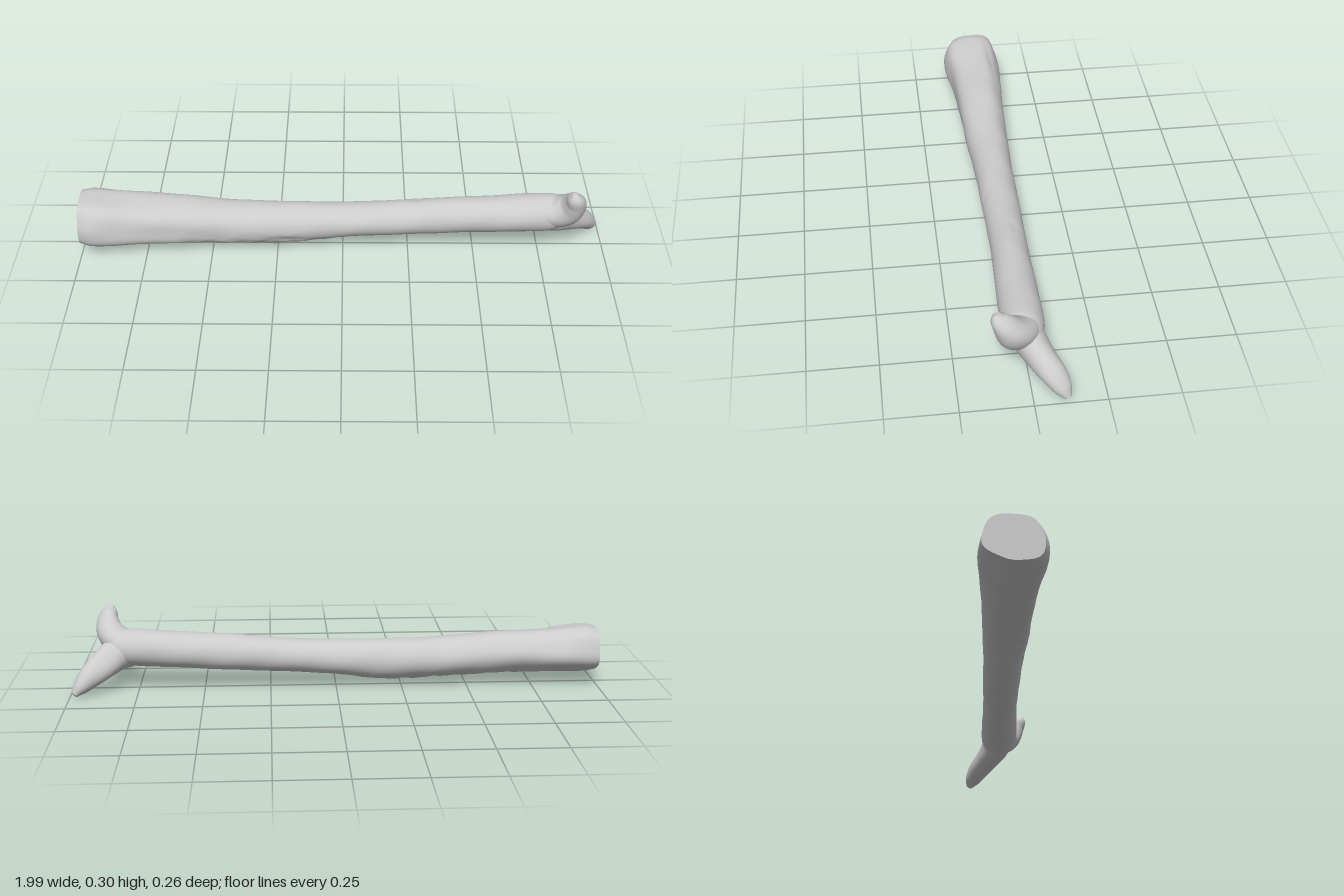
import * as THREE from 'three';

const material = new THREE.MeshStandardMaterial({ color: 0xcccccc, roughness: 0.9 });
const SIDES = 56;

// Joins rings of points into a smooth skin; each end gets its own flat cap.
function loft(rings) {
  const pos = [], index = [];
  const n = rings[0].length;
  rings.forEach(r => r.forEach(p => pos.push(p.x, p.y, p.z)));
  for (let i = 0; i < rings.length - 1; i++) {
    for (let j = 0; j < n; j++) {
      const k = (j + 1) % n;
      const a = i * n + j, b = i * n + k, c = a + n, d = b + n;
      index.push(a, c, b, b, c, d);
    }
  }
  [rings[0], rings[rings.length - 1]].forEach((ring, end) => {
    const base = pos.length / 3;
    const mid = new THREE.Vector3();
    ring.forEach(p => { mid.add(p); pos.push(p.x, p.y, p.z); });
    mid.divideScalar(n);
    pos.push(mid.x, mid.y, mid.z);
    for (let j = 0; j < n; j++) {
      const a = base + j, b = base + (j + 1) % n;
      if (end === 0) index.push(base + n, a, b);
      else index.push(base + n, b, a);
    }
  });
  const g = new THREE.BufferGeometry();
  g.setAttribute('position', new THREE.Float32BufferAttribute(pos, 3));
  g.setIndex(index);
  g.computeVertexNormals();
  return g;
}

// Smooth interpolation through a table whose first column is the key
function sample(table, x) {
  let i = 0;
  while (i < table.length - 2 && x > table[i + 1][0]) i++;
  const p0 = table[Math.max(i - 1, 0)], p1 = table[i];
  const p2 = table[i + 1], p3 = table[Math.min(i + 2, table.length - 1)];
  const h = p2[0] - p1[0];
  const t = THREE.MathUtils.clamp((x - p1[0]) / h, 0, 1);
  return p1.map((v, c) => {
    if (c === 0) return x;
    const m1 = (p2[c] - p0[c]) / (p2[0] - p0[0]) * h;
    const m2 = (p3[c] - p1[c]) / (p3[0] - p1[0]) * h;
    const t2 = t * t, t3 = t2 * t;
    return (2 * t3 - 3 * t2 + 1) * v + (t3 - 2 * t2 + t) * m1
      + (3 * t2 - 2 * t3) * p2[c] + (t3 - t2) * m2;
  });
}

const bump = (v, centre, width) => Math.exp(-(((v - centre) / width) ** 2));
const angleGap = (a, b) => Math.atan2(Math.sin(a - b), Math.cos(a - b));

// Trunk stations: x, bottom y, top y, back z, front z
const stations = [
  [-1, 0.052, 0.217, -0.095, 0.108],
  [-0.96, 0.045, 0.225, -0.1, 0.122],
  [-0.9, 0.044, 0.222, -0.102, 0.12],
  [-0.8, 0.046, 0.212, -0.098, 0.104],
  [-0.6, 0.045, 0.202, -0.088, 0.096],
  [-0.4, 0.035, 0.188, -0.079, 0.088],
  [-0.2, 0.028, 0.183, -0.074, 0.077],
  [0, 0.05, 0.183, -0.071, 0.073],
  [0.2, 0.062, 0.192, -0.067, 0.07],
  [0.4, 0.072, 0.208, -0.065, 0.073],
  [0.6, 0.082, 0.221, -0.065, 0.08],
  [0.78, 0.092, 0.232, -0.063, 0.083],
  [0.83, 0.105, 0.222, -0.052, 0.07],
  [0.86, 0.12, 0.2, -0.035, 0.05],
  [0.875, 0.145, 0.175, -0.015, 0.025],
];

function trunkRing(x) {
  const [, bottom, top, back, front] = sample(stations, x);
  const cy = (bottom + top) / 2, cz = (back + front) / 2;
  const butt = THREE.MathUtils.smoothstep(-x, 0.05, 0.95);
  const ring = [];
  for (let j = 0; j < SIDES; j++) {
    const a = j / SIDES * Math.PI * 2;
    // flared butt: heavy low-front and high-back corners
    let r = 1 + butt * (0.22 * bump(angleGap(a, -0.78), 0, 0.4)
      + 0.1 * bump(angleGap(a, 2.1), 0, 0.45) + 0.04 * bump(angleGap(a, 0.85), 0, 0.4)
      - 0.06 * bump(angleGap(a, 4.1), 0, 0.5));
    // long shallow grooves and gentle unevenness
    r += butt * 0.022 * Math.sin(5 * a + 3 * x + Math.sin(7 * x));
    r += 0.012 * Math.sin(13 * x + 2 * a) + 0.007 * Math.sin(31 * x - 3 * a);
    // torn bark on the underside
    const torn = bump(x, -0.35, 0.28);
    const under = bump(angleGap(a, -1.35), 0, 0.75);
    r += torn * under * (0.05 * Math.sin(46 * x + 5 * a) * Math.sin(9 * a - 17 * x)
      + 0.025 * Math.sin(95 * x + 4 * Math.sin(6 * a)));
    // gouge low on the front
    r -= 0.1 * bump(x, -0.22, 0.06) * bump(angleGap(a, -0.55), 0, 0.22);
    // split along the upper back near the butt
    r -= 0.06 * bump(x, -0.84, 0.12) * bump(angleGap(a, 2.2 + 0.8 * (x + 0.84)), 0, 0.12);
    // shallow knots
    r -= 0.05 * bump(x, 0.28, 0.03) * bump(angleGap(a, 1.9), 0, 0.2);
    r -= 0.03 * bump(x, 0.06, 0.02) * bump(angleGap(a, 0.6), 0, 0.15);
    ring.push(new THREE.Vector3(x,
      cy + Math.sin(a) * r * (top - bottom) / 2,
      cz + Math.cos(a) * r * (front - back) / 2));
  }
  return ring;
}

// Tapered limb along a path of [x, y, z, radius]
function limb(path) {
  const curve = new THREE.CatmullRomCurve3(path.map(p => new THREE.Vector3(p[0], p[1], p[2])));
  const radii = path.map((p, i) => [i, p[3]]);
  const steps = 40;
  const frames = curve.computeFrenetFrames(steps, false);
  const rings = [];
  for (let i = 0; i <= steps; i++) {
    const u = i / steps;
    const t = curve.getUtoTmapping(u);
    const centre = curve.getPoint(t);
    const radius = sample(radii, t * (path.length - 1))[1];
    const ring = [];
    for (let j = 0; j < SIDES; j++) {
      const a = j / SIDES * Math.PI * 2;
      const r = radius * (1 + 0.05 * Math.sin(2 * a + 5 * u) + 0.03 * Math.sin(3 * a - 9 * u));
      ring.push(centre.clone()
        .addScaledVector(frames.binormals[i], r * Math.cos(a))
        .addScaledVector(frames.normals[i], r * Math.sin(a)));
    }
    rings.push(ring);
  }
  return loft(rings);
}

export function createModel() {
  const group = new THREE.Group();
  group.name = 'forkedLog';
  const add = (name, geometry) => {
    const mesh = new THREE.Mesh(geometry, material);
    mesh.name = name;
    group.add(mesh);
  };

  const rings = [];
  for (let i = 0; i <= 300; i++) rings.push(trunkRing(-1 + 1.875 * i / 300));
  add('trunk', loft(rings));

  // short stub rising to the front
  add('upperBranch', limb([
    [0.72, 0.163, 0.01, 0.058], [0.81, 0.172, 0.022, 0.063], [0.857, 0.208, 0.052, 0.055],
    [0.868, 0.25, 0.082, 0.042], [0.862, 0.283, 0.105, 0.028], [0.859, 0.301, 0.109, 0.011],
  ]));
  // longer stub dropping to the back
  add('lowerBranch', limb([
    [0.72, 0.16, 0.008, 0.058], [0.81, 0.147, 0.002, 0.062], [0.87, 0.113, -0.033, 0.054],
    [0.925, 0.075, -0.073, 0.045], [0.962, 0.038, -0.1, 0.031], [0.983, 0.013, -0.116, 0.012],
  ]));
  return group;
}
